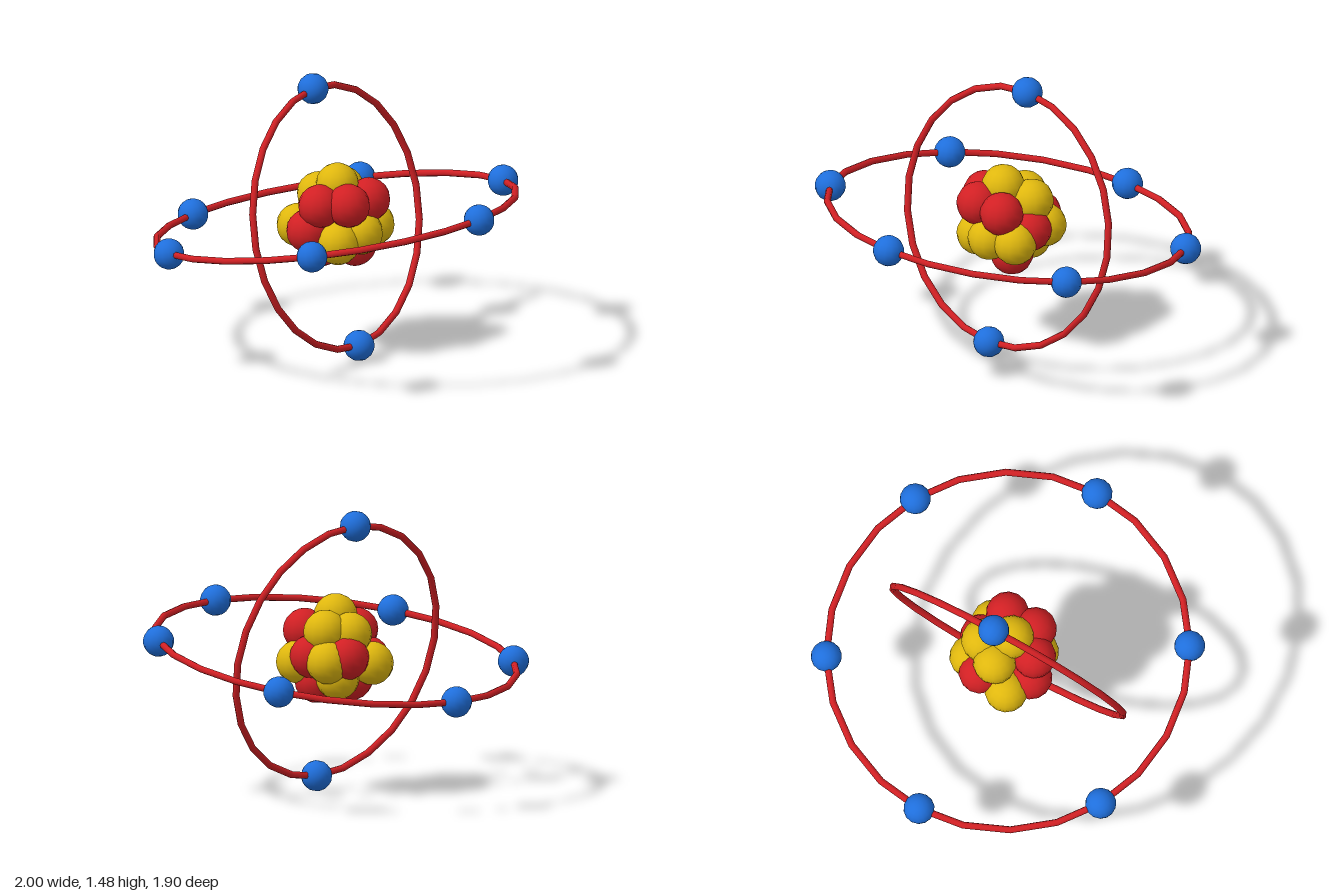
import * as THREE from 'three';

const CENTER_Y = 0.742;

export function createModel() {
  const model = new THREE.Group();
  model.name = 'atom';

  const mat = (name, color) => {
    const m = new THREE.MeshStandardMaterial({ color });
    m.name = name;
    return m;
  };
  const red = mat('red', 0xd22024);
  const yellow = mat('yellow', 0xe0b80e);
  const blue = mat('blue', 0x1f6fdc);

  const add = (parent, name, geometry, material, x = 0, y = 0, z = 0) => {
    const mesh = new THREE.Mesh(geometry, material);
    mesh.name = name;
    mesh.position.set(x, y, z);
    parent.add(mesh);
    return mesh;
  };

  // Nucleus: a cluster of overlapping balls, given as world centres
  const nucleus = new THREE.Group();
  nucleus.name = 'nucleus';
  model.add(nucleus);
  const ball = new THREE.SphereGeometry(0.112, 14, 10);
  const protons = [
    [0.01, 0.84, 0.15], [0.14, 0.85, 0.08], [-0.055, 0.70, 0.165],
    [0.145, 0.845, -0.085], [0.01, 0.73, -0.16], [0.06, 0.588, -0.08],
    [-0.05, 0.60, 0.06], [-0.165, 0.73, -0.07],
  ];
  const neutrons = [
    [0.02, 0.925, 0.015], [-0.12, 0.845, -0.01], [-0.05, 0.86, -0.12],
    [-0.175, 0.69, 0.09], [-0.11, 0.71, -0.155], [0.12, 0.69, -0.155],
    [0.155, 0.685, -0.01], [0.10, 0.65, 0.115], [-0.09, 0.62, -0.07],
  ];
  for (const p of protons) add(nucleus, 'proton', ball, red, ...p);
  for (const p of neutrons) add(nucleus, 'neutron', ball, yellow, ...p);

  // Orbits: a tilted ring carrying evenly spaced electrons
  const electron = new THREE.SphereGeometry(0.08, 14, 10);
  const addOrbit = (name, radius, tiltDegrees, count) => {
    const orbit = new THREE.Group();
    orbit.name = name;
    orbit.position.y = CENTER_Y;
    orbit.rotation.z = THREE.MathUtils.degToRad(tiltDegrees);
    const ring = add(orbit, 'ring', new THREE.TorusGeometry(radius, 0.018, 8, 24), red);
    ring.rotation.x = Math.PI / 2;
    for (let i = 0; i < count; i++) {
      const a = (i / count) * Math.PI * 2;
      add(orbit, 'electron', electron, blue, radius * Math.cos(a), 0, radius * Math.sin(a));
    }
    model.add(orbit);
  };
  addOrbit('outerOrbit', 0.934, 10, 6);
  addOrbit('innerOrbit', 0.678, 102.6, 2);

  return model;
}
